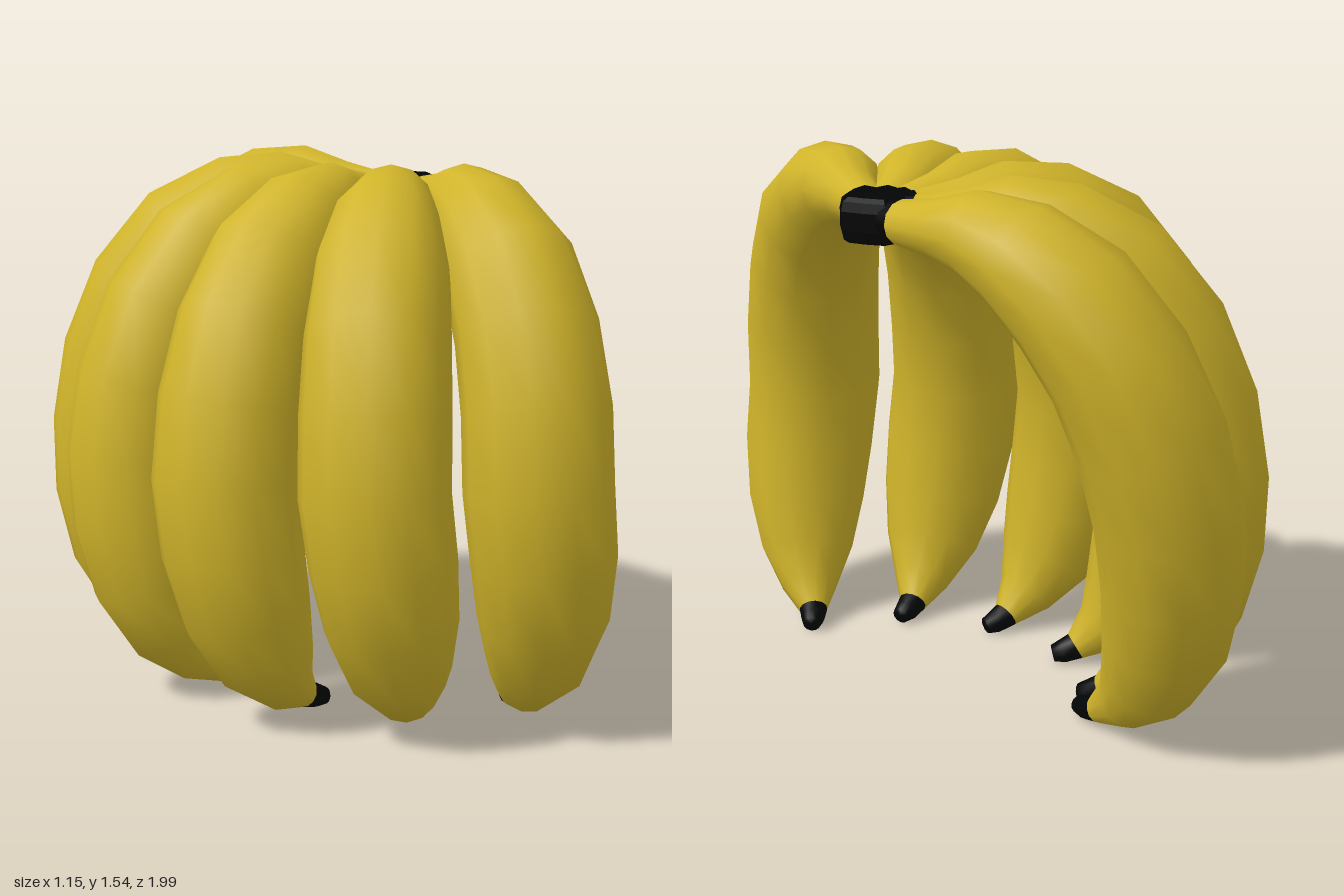
import * as THREE from 'three';

const SIDES = 12;
const HUB = new THREE.Vector3(0.47, 0, 0);

// Banana centreline: distance from the hub, height, radius
const PROFILE = [
  [0.02, 1.425, 0.058], [0.108, 1.425, 0.064], [0.24, 1.43, 0.083], [0.35, 1.435, 0.118],
  [0.485, 1.397, 0.153], [0.637, 1.295, 0.185], [0.758, 1.13, 0.198], [0.833, 0.93, 0.205],
  [0.866, 0.72, 0.206], [0.864, 0.53, 0.202], [0.833, 0.35, 0.184], [0.772, 0.2, 0.145],
  [0.695, 0.105, 0.089], [0.615, 0.053, 0.043], [0.58, 0.039, 0.036], [0.553, 0.032, 0.026],
];
const NECK_END = 1;
const MIDDLE = 8;
const TIP_START = 13;
const FLATTEN = 0.95;

// Direction of each banana in degrees at the neck, the belly and the tip
const BANANAS = [
  [-91, -67.5, -47], [-50, -47, -38.5], [-19, -19.3, -10],
  [7, 8.7, 20], [36, 37.7, 49], [71, 67.5, 78],
];

// Rings of points around a banana's curved, slightly twisted centreline
function bananaRings([neck, belly, tip]) {
  const last = PROFILE.length - 1;
  const angles = PROFILE.map((_, i) => THREE.MathUtils.degToRad(i < MIDDLE
    ? THREE.MathUtils.lerp(neck, belly, i / MIDDLE)
    : THREE.MathUtils.lerp(belly, tip, (i - MIDDLE) / (last - MIDDLE))));
  const centres = PROFILE.map(([r, y], i) =>
    new THREE.Vector3(HUB.x - r * Math.cos(angles[i]), y, r * Math.sin(angles[i])));
  return centres.map((centre, i) => {
    const tangent = centres[Math.min(i + 1, last)].clone()
      .sub(centres[Math.max(i - 1, 0)]).normalize();
    const side = new THREE.Vector3(Math.sin(angles[i]), 0, Math.cos(angles[i]));
    side.addScaledVector(tangent, -side.dot(tangent)).normalize();
    const normal = tangent.clone().cross(side);
    const points = [];
    for (let j = 0; j < SIDES; j++) {
      const a = (j / SIDES) * Math.PI * 2;
      points.push(centre.clone()
        .addScaledVector(side, PROFILE[i][2] * Math.cos(a))
        .addScaledVector(normal, PROFILE[i][2] * FLATTEN * Math.sin(a)));
    }
    return { centre, points };
  });
}

// Smooth skin over a run of rings, optionally closed at the far end
function skin(rings, closeEnd) {
  const points = rings.flatMap((ring) => ring.points);
  const index = [];
  for (let i = 0; i < rings.length; i++) {
    for (let j = 0; j < SIDES; j++) {
      const a = i * SIDES + j;
      const b = i * SIDES + (j + 1) % SIDES;
      if (i < rings.length - 1) index.push(a, b, a + SIDES, b, b + SIDES, a + SIDES);
      else if (closeEnd) index.push(a, b, points.length);
    }
  }
  if (closeEnd) points.push(rings[rings.length - 1].centre.clone());
  const geometry = new THREE.BufferGeometry().setFromPoints(points);
  geometry.setIndex(index);
  geometry.computeVertexNormals();
  return geometry;
}

export function createModel() {
  const model = new THREE.Group();
  model.name = 'bananaBunch';
  const yellow = new THREE.MeshStandardMaterial({ name: 'bananaYellow', color: 0xd0b42a });
  const black = new THREE.MeshStandardMaterial({ name: 'stemBlack', color: 0x030405 });

  const add = (parent, name, geometry, material) => {
    const mesh = new THREE.Mesh(geometry, material);
    mesh.name = name;
    parent.add(mesh);
  };

  // Six bananas fanned around the hub, each with a dark neck and tip
  BANANAS.forEach((directions, i) => {
    const banana = new THREE.Group();
    banana.name = `banana${i + 1}`;
    const rings = bananaRings(directions);
    add(banana, 'neck', skin(rings.slice(0, NECK_END + 1), false), black);
    add(banana, 'peel', skin(rings.slice(NECK_END, TIP_START + 1), false), yellow);
    add(banana, 'tip', skin(rings.slice(TIP_START), true), black);
    model.add(banana);
  });

  // Dark stem joining the necks: outline in x and z, extruded upwards
  const outline = [
    [0.4, 0.045], [0.4, -0.045], [0.44, -0.075], [0.5, -0.075],
    [0.53, -0.03], [0.55, 0.015], [0.525, 0.055], [0.49, 0.08], [0.44, 0.07],
  ].map(([x, z]) => new THREE.Vector2(x, -z));
  const stem = new THREE.ExtrudeGeometry(new THREE.Shape(outline), {
    depth: 0.05, bevelEnabled: true, bevelThickness: 0.037, bevelSize: 0.02, bevelSegments: 2,
  });
  stem.rotateX(-Math.PI / 2);
  stem.translate(0, 1.397, 0);
  add(model, 'stem', stem, black);

  return model;
}
